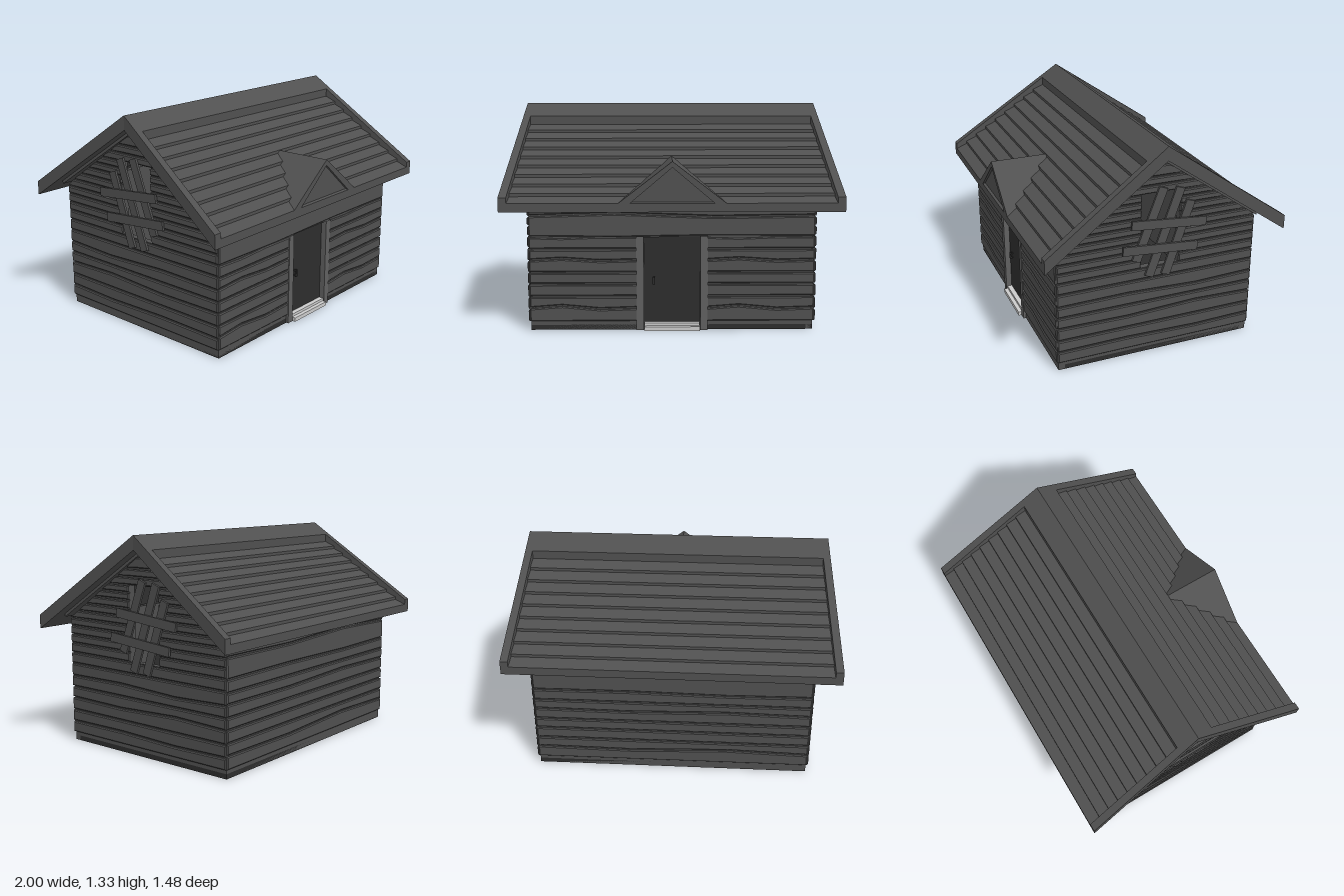
import * as THREE from 'three';

const mat = (color) => new THREE.MeshStandardMaterial({ color, flatShading: true });
const WOOD = mat(0x505050), TRIM = mat(0x606060), DARK = mat(0x2d2d2d), STEP = mat(0xcccccc);

const shapeOf = (pts) => new THREE.Shape(pts.map(([a, b]) => new THREE.Vector2(a, b)));

function add(group, name, geometry, material = WOOD) {
  const mesh = new THREE.Mesh(geometry, material);
  mesh.name = name;
  group.add(mesh);
  return mesh;
}

function box(group, name, x0, x1, y0, y1, z0, z1, material) {
  const g = new THREE.BoxGeometry(x1 - x0, y1 - y0, z1 - z0);
  g.translate((x0 + x1) / 2, (y0 + y1) / 2, (z0 + z1) / 2);
  return add(group, name, g, material);
}

// Outline in (x, y), extruded from z0 to z1, optionally with chamfered edges
function prismZ(shape, z0, z1, bevel = 0) {
  const g = new THREE.ExtrudeGeometry(shape, {
    depth: z1 - z0 - 2 * bevel, bevelEnabled: bevel > 0, bevelSegments: 1,
    bevelSize: bevel, bevelThickness: bevel, bevelOffset: -bevel,
  });
  return g.translate(0, 0, z0 + bevel);
}

// Outline in (z, y), extruded from x0 to x1
function prismX(shape, x0, x1, bevel = 0) {
  return prismZ(shape, -x1, -x0, bevel).rotateY(-Math.PI / 2);
}

// Roof lines: ridge position, slope and flared half width
const RIDGE_Z = -0.01, RIDGE_Y = 1.33, EAVE = 0.74, SLOPE = 0.69;
const roofY = (z) => RIDGE_Y - SLOPE * Math.abs(z - RIDGE_Z);
const halfWidth = (z) => 0.925 + 0.075 * Math.abs(z - RIDGE_Z) / 0.745;

// Roof slab following the slope, with x given as a fraction of the flared width
function roofPiece(group, name, za, zb, topA, topB, bottom, f0, f1) {
  const g = prismX(shapeOf([
    [za, roofY(za) - topA], [zb, roofY(zb) - topB],
    [zb, roofY(zb) - bottom], [za, roofY(za) - bottom]]), f0, f1);
  const p = g.attributes.position;
  for (let i = 0; i < p.count; i++) p.setX(i, p.getX(i) * halfWidth(p.getZ(i)));
  g.computeVertexNormals();
  add(group, name, g);
}

function buildRoof() {
  const roof = new THREE.Group();
  roof.name = 'roof';
  for (const s of [1, -1]) {
    const eave = s * EAVE, capEnd = RIDGE_Z + s * 0.115;
    roofPiece(roof, 'roofDeck', RIDGE_Z, eave, 0.06, 0.06, 0.085, -0.97, 0.97);
    roofPiece(roof, 'roofLining', RIDGE_Z, s * 0.6, 0.08, 0.08, 0.105, -0.93, 0.93);
    roofPiece(roof, 'ridgeBoard', RIDGE_Z, capEnd, 0, 0, 0.08, -0.97, 0.97);
    for (const [f0, f1] of [[0.953, 1], [-1, -0.953]])
      roofPiece(roof, 'rakeBoard', RIDGE_Z, eave, 0, 0, 0.085, f0, f1);
    // Overlapping shingle boards, thicker at their lower edge
    const rows = 9, step = (eave - capEnd) / rows;
    for (let i = 0; i < rows; i++) {
      const z = capEnd + i * step;
      roofPiece(roof, 'shingleBoard', z, z + step, 0.052, 0.034, 0.07, -0.96, 0.96);
    }
  }
  return roof;
}

// Small pediment over the door, its back cut along the roof slope
function buildPediment() {
  const group = new THREE.Group();
  group.name = 'doorPediment';
  const cutBack = (g) => {
    const p = g.attributes.position;
    for (let i = 0; i < p.count; i++)
      if (p.getZ(i) < 0.5) p.setZ(i, Math.min(0.7, (1.275 - p.getY(i)) / SLOPE));
    g.computeVertexNormals();
    return g;
  };
  add(group, 'pedimentRoof', cutBack(prismZ(shapeOf([[0, 1.02], [-0.33, 0.765], [-0.33, 0.74],
    [-0.29, 0.74], [0, 0.985], [0.29, 0.74], [0.33, 0.74], [0.33, 0.765]]), 0.4, 0.74)));
  add(group, 'pedimentPanel', cutBack(prismZ(shapeOf([[-0.3, 0.74], [0.3, 0.74], [0, 0.995]]), 0.4, 0.725)));
  return group;
}

// Board outline with gently bent edges; lean(y) gives the end positions
const GAP = 0.005;
function board(u0, u1, y0, y1, bend0, bend1) {
  const at = (t) => u0(y0) + (u1(y0) - u0(y0)) * t;
  const top = (t) => u0(y1) + (u1(y1) - u0(y1)) * t;
  return shapeOf([
    [u0(y0), y0 + GAP], [at(0.3), y0 + GAP + bend0], [at(0.65), y0 + GAP - bend0 / 2], [u1(y0), y0 + GAP],
    [u1(y1), y1 - GAP], [top(0.65), y1 - GAP - bend1 / 2], [top(0.3), y1 - GAP + bend1], [u0(y1), y1 - GAP]]);
}
const fixed = (v) => () => v;

function buildLongWalls(group) {
  const rows = [0.05, 0.135, 0.205, 0.28, 0.35, 0.425, 0.49, 0.565, 0.69, 0.79];
  const bends = [0, 0.014, 0, 0, 0, 0.01, 0, -0.006, 0.014, 0];
  // Wall cores: the front one leaves the doorway open
  box(group, 'backWall', -0.84, 0.84, 0, 0.8, -0.62, -0.58);
  box(group, 'frontWall', -0.84, -0.17, 0, 0.8, 0.58, 0.62);
  box(group, 'frontWall', 0.17, 0.84, 0, 0.8, 0.58, 0.62);
  box(group, 'doorLintel', -0.17, 0.17, 0.56, 0.8, 0.58, 0.62);
  for (let i = 0; i < rows.length - 1; i++) {
    const plank = (name, a, b, z0, z1) => add(group, name,
      prismZ(board(fixed(a), fixed(b), rows[i], rows[i + 1], bends[i], bends[i + 1]), z0, z1, 0.006));
    plank('backPlank', -0.845, 0.845, -0.632, -0.605);
    if (rows[i] < 0.56) {
      plank('frontPlank', -0.845, -0.205, 0.605, 0.632);
      plank('frontPlank', 0.205, 0.845, 0.605, 0.632);
    } else plank('frontPlank', -0.845, 0.845, 0.605, 0.632);
  }
}

const WIN = { z0: -0.13, z1: 0.11, y0: 0.57, y1: 1.03 };

function buildGableWall(side) {
  const group = new THREE.Group();
  group.name = side > 0 ? 'leftGable' : 'rightGable';
  const span = (a, b) => (side > 0 ? [a, b] : [-b, -a]);

  // Gable core with the window opening
  const core = shapeOf([[-0.62, 0], [0.62, 0], [0.62, 0.8], [0, 1.24], [-0.62, 0.8]]);
  core.holes.push(new THREE.Path([[WIN.z0, WIN.y0], [WIN.z0, WIN.y1], [WIN.z1, WIN.y1], [WIN.z1, WIN.y0]]
    .map(([a, b]) => new THREE.Vector2(a, b))));
  add(group, 'gableWall', prismX(core, ...span(0.8, 0.84)));

  // Planks, split where the window is
  const rows = [0.05, 0.125, 0.2, 0.28, 0.35, 0.42, 0.5, 0.57, 0.63, 0.685, 0.74, 0.79,
    0.84, 0.89, 0.94, 0.985, 1.03, 1.08, 1.13, 1.2];
  const bends = [0, -0.008, 0, 0.012, 0, -0.012];
  const right = (y) => Math.min(0.625, (1.24 - y) / SLOPE);
  const left = (y) => -right(y);
  for (let i = 0; i < rows.length - 1; i++) {
    const [y0, y1] = [rows[i], rows[i + 1]];
    const cuts = y0 >= WIN.y0 && y1 <= WIN.y1
      ? [[left, fixed(WIN.z0)], [fixed(WIN.z1), right]] : [[left, right]];
    for (const [a, b] of cuts)
      add(group, 'gablePlank', prismX(board(a, b, y0, y1, bends[i] || 0, bends[i + 1] || 0),
        ...span(0.825, 0.855), 0.006));
  }

  // Boards nailed over the window: end points as [z, y]
  const boards = [
    [-0.016, 1.065, 0.147, 0.63, 0], [-0.123, 1.05, 0.064, 0.52, 0], [-0.19, 0.96, -0.04, 0.515, 0],
    [0.183, 0.866, -0.287, 0.822, 1], [0.235, 0.715, -0.235, 0.675, 1]];
  for (const [za, ya, zb, yb, layer] of boards) {
    const length = Math.hypot(zb - za, yb - ya);
    const b = add(group, 'windowBoard', new THREE.BoxGeometry(0.014, 0.055, length));
    b.position.set(side * (0.862 + layer * 0.014), (ya + yb) / 2, (za + zb) / 2);
    b.rotation.x = -Math.atan2(yb - ya, zb - za);
  }
  return group;
}

function buildDoor() {
  const group = new THREE.Group();
  group.name = 'entrance';
  box(group, 'door', -0.17, 0.17, 0.03, 0.565, 0.585, 0.6, DARK);
  for (const s of [-1, 1]) box(group, 'doorPost', s * 0.19 - 0.022, s * 0.19 + 0.022, 0, 0.567, 0.58, 0.636, TRIM);
  box(group, 'doorHandle', -0.117, -0.103, 0.275, 0.32, 0.612, 0.62, DARK);
  for (const y of [0.282, 0.313]) box(group, 'handleMount', -0.115, -0.105, y - 0.005, y + 0.005, 0.6, 0.614, DARK);
  box(group, 'lowerStep', -0.165, 0.165, 0, 0.025, 0.6, 0.655, STEP);
  box(group, 'upperStep', -0.165, 0.165, 0.02, 0.042, 0.59, 0.63, STEP);
  return group;
}

export function createModel() {
  const model = new THREE.Group();
  model.name = 'cabin';
  box(model, 'floor', -0.84, 0.84, 0, 0.03, -0.62, 0.62, DARK);
  const walls = new THREE.Group();
  walls.name = 'longWalls';
  buildLongWalls(walls);
  model.add(walls, buildGableWall(1), buildGableWall(-1), buildDoor(), buildRoof(), buildPediment());
  return model;
}
